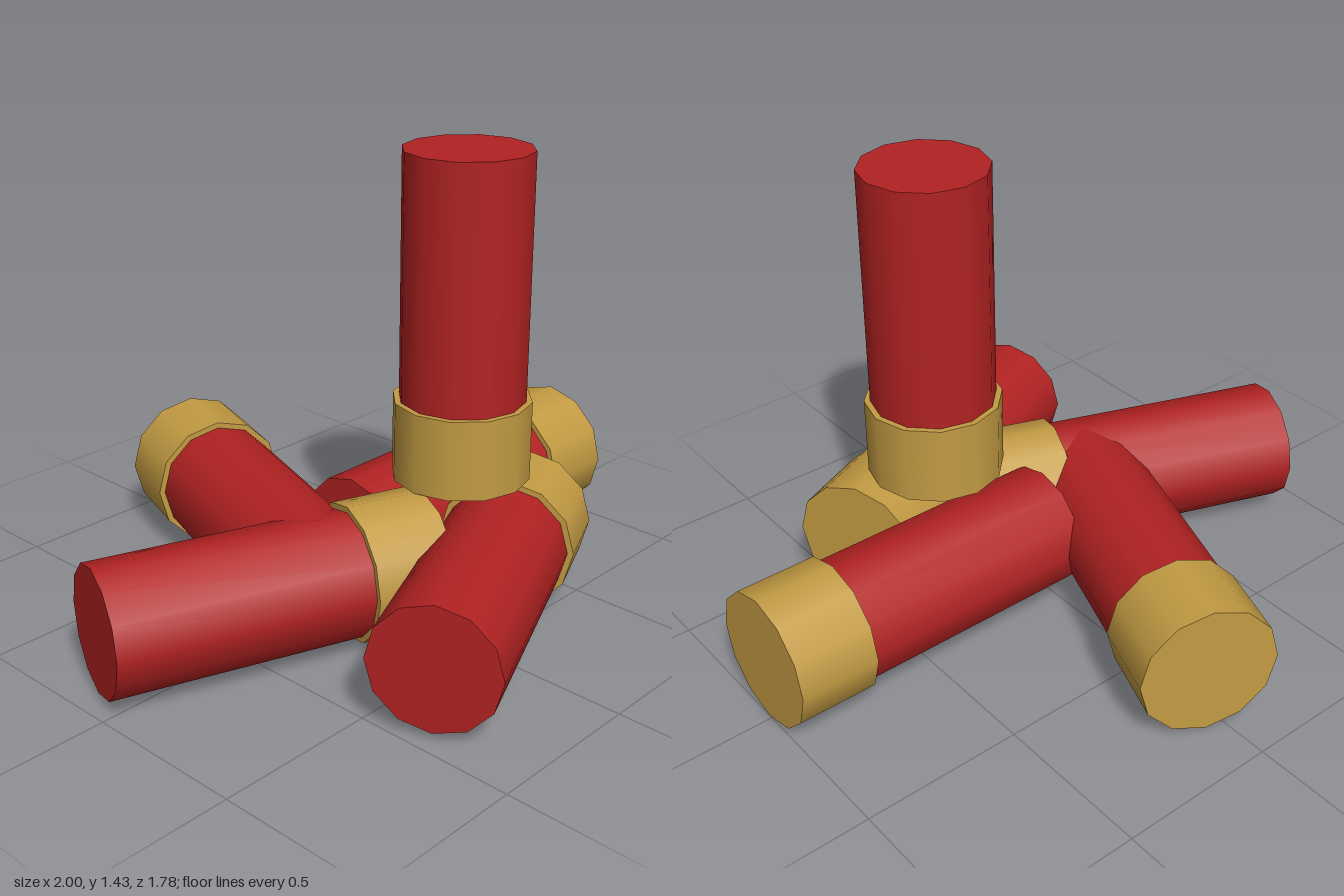
import * as THREE from 'three';

const SIDES = 12;
const BRASS_R = 0.2125, BRASS_LEN = 0.25, HULL_R = 0.194;

const red = new THREE.MeshStandardMaterial({ color: 0xb22222 });
red.name = 'red plastic';
const brass = new THREE.MeshStandardMaterial({ color: 0xc39b43 });
brass.name = 'brass';

// Closed cylinder standing on its base height
function tube(name, radius, base, length, material) {
  const geometry = new THREE.CylinderGeometry(radius, radius, length, SIDES);
  geometry.translate(0, base + length / 2, 0);
  const mesh = new THREE.Mesh(geometry, material);
  mesh.name = name;
  return mesh;
}

// One shell: origin at the brass end, hull pointing along local +y
function shell(name, hullLength) {
  const group = new THREE.Group();
  group.name = name;
  group.add(
    tube('brassBase', BRASS_R, 0, BRASS_LEN, brass),
    tube('redHull', HULL_R, BRASS_LEN, hullLength, red)
  );
  return group;
}

export function createModel() {
  const model = new THREE.Group();
  model.name = 'shotgunShells';

  // Upright shell resting on the pile
  const upright = shell('uprightShell', 0.755);
  upright.position.set(0.212, 0.425, 0.245);
  model.add(upright);

  // Lying shells: name, brass end x and z, yaw in degrees
  const lying = [
    ['rightPointingShell', 1.0, 0.01, 0],
    ['backShell', 0.056, -0.829, 70],
    ['leftShell', 0.03, 0.25, -20],
    ['frontShell', 0.49, 0.288, 24]
  ];
  for (const [name, x, z, yaw] of lying) {
    const s = shell(name, 0.776);
    s.position.set(x, BRASS_R, z);
    s.rotation.set(0, THREE.MathUtils.degToRad(yaw), Math.PI / 2);
    model.add(s);
  }
  return model;
}
